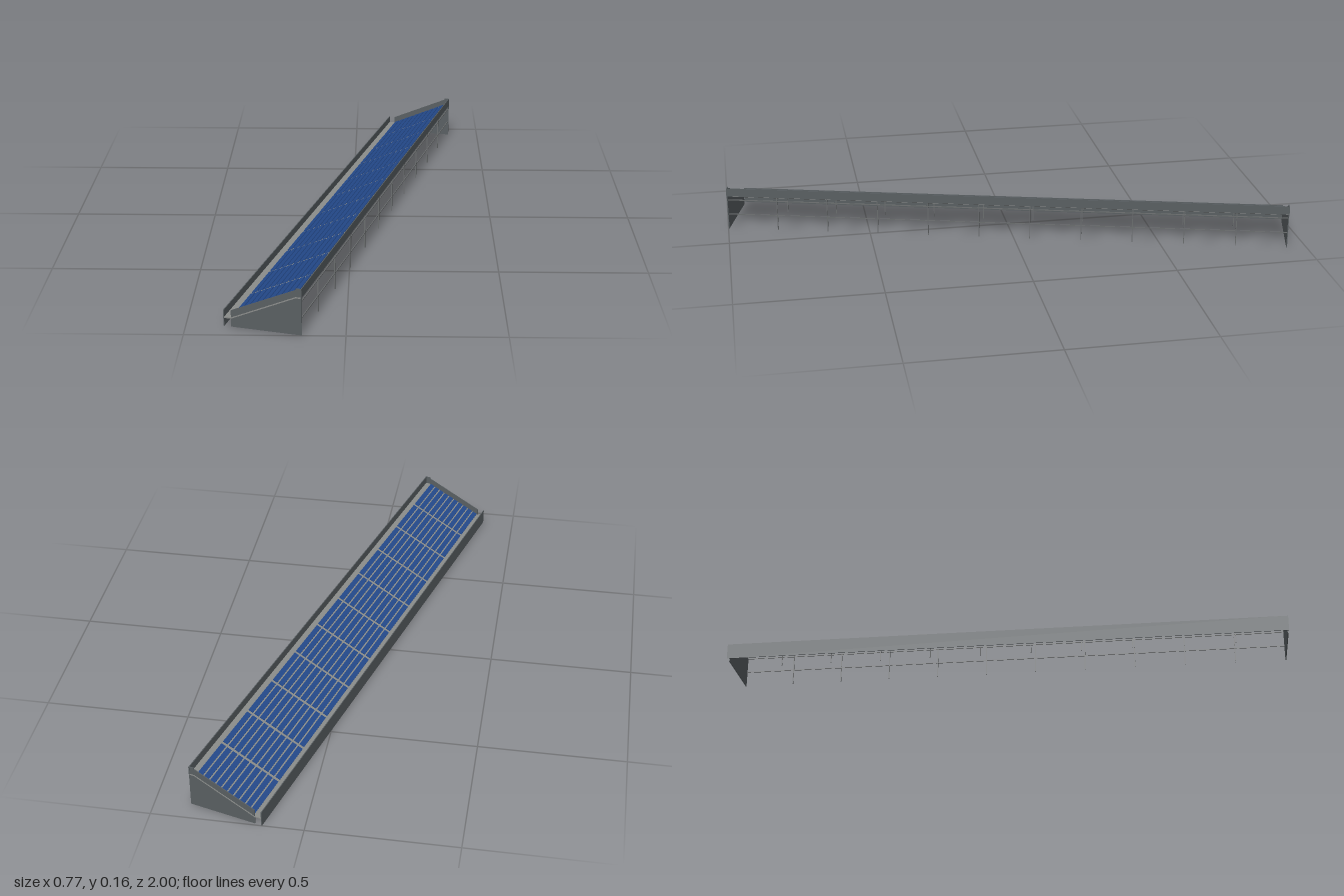
import * as THREE from 'three';

const mat = (name, color) => {
  const m = new THREE.MeshStandardMaterial({ color });
  m.name = name;
  return m;
};

export function createModel() {
  const cladding = mat('slate cladding', 0x595f62);
  const sheet = mat('roof grey', 0x8b8d8b);
  const steel = mat('frame steel', 0x6a6d6e);
  const blue = mat('panel blue', 0x244a8c);

  const L = 2.002, W = 0.2556, hw = W / 2, hl = L / 2;
  const eave = -0.103, ridge = 0.109;      // where the slope starts and ends
  const bays = 11, bay = L / bays, rows = 10;
  const t = 0.003;

  const model = new THREE.Group();
  model.name = 'solarCanopy';
  const body = new THREE.Group();
  body.name = 'canopyBody';
  body.rotation.y = -Math.PI / 12;
  model.add(body);

  const add = (name, geometry, material, x = 0, y = 0, z = 0, parent = body) => {
    const m = new THREE.Mesh(geometry, material);
    m.name = name;
    m.position.set(x, y, z);
    parent.add(m);
    return m;
  };
  const box = (name, material, w, h, d, x, y, z, parent) =>
    add(name, new THREE.BoxGeometry(w, h, d), material, x, y, z, parent);
  const extrude = (points, depth) => new THREE.ExtrudeGeometry(
    new THREE.Shape(points.map(p => new THREE.Vector2(...p))), { depth, bevelEnabled: false });

  // Folded roof sheet: gutter, slope, upper gutter
  const top = [[-hw + t, 0.031], [eave, 0.031], [ridge, 0.127], [hw - t, 0.127]];
  const under = top.map(([x, y]) => [x, y - 0.004]);
  add('roofSheet', extrude([...under, ...top.reverse()], L), sheet, 0, 0, -hl);

  // Gable walls at both ends
  const gable = extrude([[eave, 0], [hw, 0], [hw, 0.155], [ridge, 0.155],
    [ridge, 0.15], [eave, 0.055]], t);
  add('frontGable', gable, cladding, 0, 0, hl - 0.001 - t);
  add('backGable', gable, cladding, 0, 0, -hl + 0.001);

  // Low wall and high fascia
  box('lowWall', cladding, t, 0.055, L, -hw + t / 2, 0.0275, 0);
  box('highFascia', cladding, t, 0.03, L, hw - t / 2, 0.14, 0);

  // Posts on the open side and under the slope
  for (let i = 1; i < bays; i++) {
    const z = hl - i * bay;
    box('tallPost', steel, 0.004, 0.125, 0.003, hw - 0.004, 0.0625, z);
    box('shortPost', steel, 0.004, 0.054, 0.003, -0.044, 0.027, z);
  }
  // Long rails on the open side
  for (const y of [0.055, 0.11]) {
    box('sideRail', steel, 0.003, 0.003, L - 0.008, hw - 0.004, y, 0);
  }

  // Solar strips laid on the slope
  const slope = new THREE.Group();
  slope.name = 'solarArray';
  slope.position.set((eave + ridge) / 2, 0.079, 0);
  slope.rotation.z = Math.atan2(0.096, ridge - eave);
  body.add(slope);
  const run = Math.hypot(0.096, ridge - eave) - 0.004;
  const pitch = run / rows;
  const strip = new THREE.BoxGeometry(pitch - 0.005, 0.003, bay - 0.012);
  for (let i = 0; i < bays; i++) {
    for (let j = 0; j < rows; j++) {
      add('solarStrip', strip, blue, -run / 2 + (j + 0.5) * pitch, 0.0015,
        hl - (i + 0.5) * bay, slope);
    }
  }
  return model;
}
